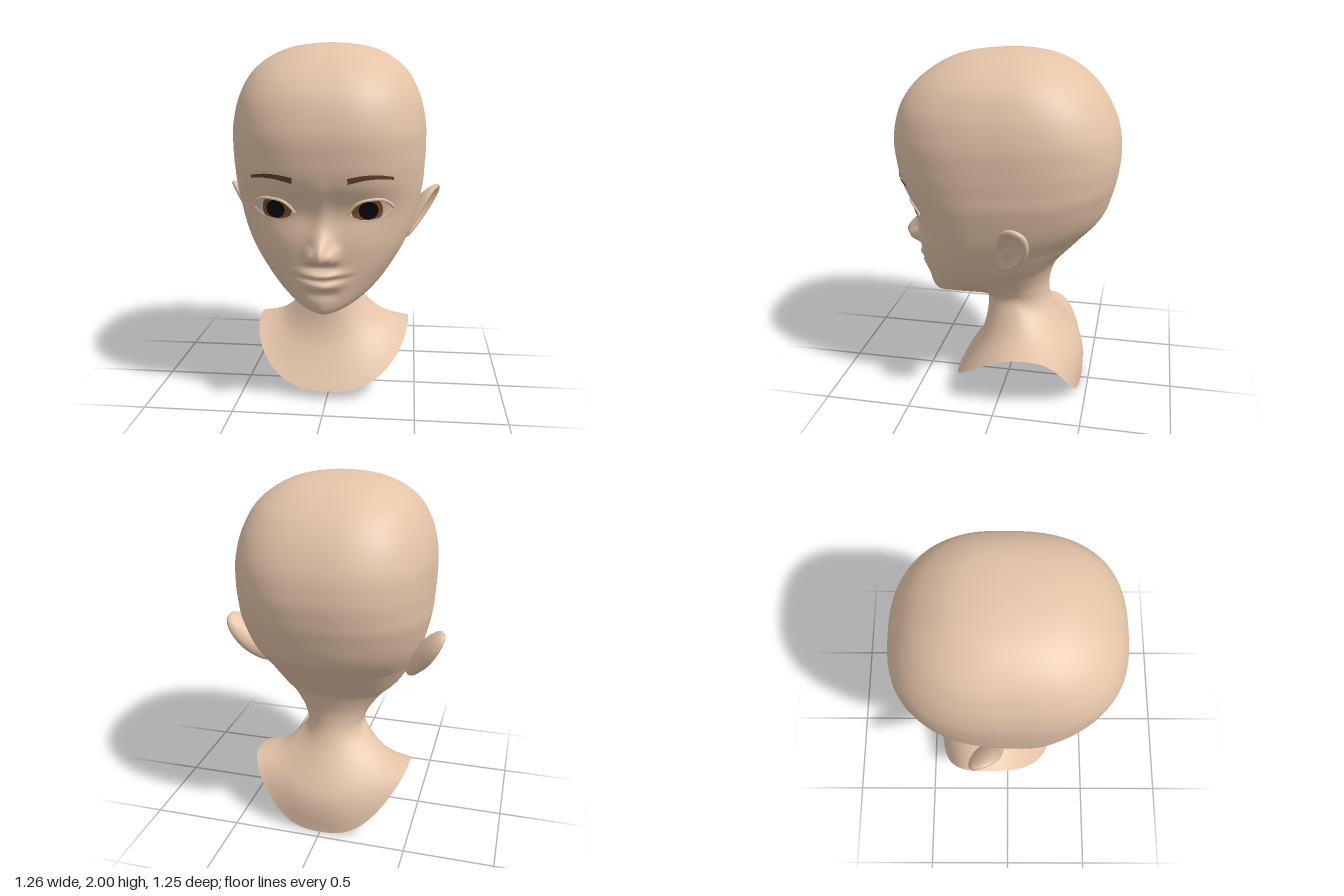
import * as THREE from 'three';

const skin = new THREE.MeshStandardMaterial({ color: 0xe4c4a8, side: THREE.DoubleSide });
skin.name = 'skin';
const flat = (name, color) => {
  const m = new THREE.MeshStandardMaterial({ color, side: THREE.DoubleSide });
  m.name = name;
  return m;
};
const eyeWhite = flat('eye white', 0xdcc9ba);
const irisBrown = flat('iris brown', 0x7d5231);
const pupilBlack = flat('pupil black', 0x0c0a0a);
const browBrown = flat('brow brown', 0x664529);

// Tilted rings, hem to crown: front y,z | side x,y,z | back y,z | roundness
// The last ring lies past the crown and only keeps the top round
const RINGS = [
  [0.05, 0.30, 0.457, 0.35, -0.17, 0.00, -0.455, 2.6],
  [0.30, 0.16, 0.30, 0.405, -0.135, 0.22, -0.445, 2.2],
  [0.50, 0.12, 0.178, 0.54, -0.08, 0.49, -0.28, 2],
  [0.565, 0.16, 0.185, 0.63, -0.06, 0.63, -0.245, 1.9],
  [0.552, 0.38, 0.265, 0.73, 0.00, 0.75, -0.27, 1.6],
  [0.575, 0.455, 0.335, 0.79, 0.02, 0.83, -0.315, 1.65],
  [0.70, 0.48, 0.40, 0.89, 0.03, 0.95, -0.425, 1.95],
  [0.87, 0.505, 0.47, 1.03, 0.02, 1.10, -0.55, 2.2],
  [1.14, 0.545, 0.52, 1.22, 0.00, 1.26, -0.605, 2.4],
  [1.27, 0.585, 0.53, 1.33, 0.00, 1.36, -0.624, 2.5],
  [1.39, 0.61, 0.535, 1.43, 0.00, 1.47, -0.63, 2.55],
  [1.55, 0.62, 0.53, 1.58, 0.00, 1.61, -0.605, 2.6],
  [1.73, 0.57, 0.49, 1.73, 0.00, 1.76, -0.53, 2.6],
  [1.87, 0.45, 0.405, 1.87, -0.02, 1.88, -0.42, 2.5],
  [1.967, 0.26, 0.24, 1.97, -0.05, 1.968, -0.26, 2.3],
  [2.00, -0.03, 0, 2.00, -0.03, 2.00, -0.03, 2],
  [1.967, -0.32, -0.24, 1.97, -0.05, 1.968, 0.20, 2],
];

const bump = (d, w) => Math.exp(-(d / w) * (d / w));
const plateau = (d, w) => Math.exp(-Math.pow(d / w, 4));

// Forward push that models eye sockets, nose and lips
function faceRelief(x, y) {
  const ax = Math.abs(x);
  let d = -0.034 * plateau(x, 0.36) * bump(y - 1.12, 0.11);
  d += 0.018 * bump(x, 0.05) * bump(y - 1.13, 0.13);
  d += 0.11 * bump(x, 0.052) * (y > 0.91 ? bump(y - 0.91, 0.09) : plateau(y - 0.91, 0.048));
  d += 0.05 * bump(ax - 0.06, 0.026) * plateau(y - 0.9, 0.04);
  const mouth = 0.767 + 0.5 * x * x;
  d += 0.05 * bump(x, 0.095) * bump(y - mouth - 0.025, 0.02);
  d += 0.04 * bump(x, 0.085) * bump(y - mouth + 0.035, 0.026);
  d -= 0.012 * plateau(x, 0.14) * bump(y - mouth, 0.009);
  d -= 0.008 * plateau(x, 0.09) * bump(y - 0.675, 0.025);
  return d;
}

// Turns a grid of points into a smooth surface
function gridSurface(points, rows, cols, closed, flip) {
  const index = [];
  const last = closed ? cols : cols - 1;
  for (let j = 0; j < rows - 1; j++) {
    for (let i = 0; i < last; i++) {
      const k = (i + 1) % cols;
      const a = j * cols + i, b = j * cols + k;
      const c = (j + 1) * cols + k, d = (j + 1) * cols + i;
      if (flip) index.push(a, c, b, a, d, c);
      else index.push(a, b, c, a, c, d);
    }
  }
  const g = new THREE.BufferGeometry();
  g.setAttribute('position', new THREE.Float32BufferAttribute(points, 3));
  g.setIndex(index);
  g.computeVertexNormals();
  return g;
}

function headGeometry() {
  const sub = 14, cols = 100, rows = (RINGS.length - 2) * sub + 1, pts = [];
  const at = (k) => RINGS[Math.min(Math.max(k, 0), RINGS.length - 1)];
  const spline = (a, b, c, d, t) => b + 0.5 * t * (c - a + t * (2 * a - 5 * b + 4 * c - d + t * (3 * (b - c) + d - a)));
  for (let j = 0; j < rows; j++) {
    const k = Math.floor(j / sub), t = (j % sub) / sub;
    const [fy, fz, sx, sy, sz, by, bz, n] = at(k).map((v, q) => spline(at(k - 1)[q], v, at(k + 1)[q], at(k + 2)[q], t));
    const drape = Math.max(0, 1 - j / (2 * sub)); // the hem stays high over the shoulders
    for (let i = 0; i < cols; i++) {
      const u = -1 + (2 * i) / cols;
      const a = Math.PI * Math.pow(Math.abs(u), 1.5);
      const front = Math.cos(a) >= 0;
      const e = 2 / (front ? n : Math.max(n, 2));
      const c = Math.pow(Math.abs(Math.cos(a)), e);
      const x = Math.sign(u) * Math.max(sx, 0) * Math.pow(Math.abs(Math.sin(a)), e);
      const y = sy + ((front ? fy : by) - sy) * Math.pow(c, 1 + drape * (front ? 1 : 2));
      let z = sz + ((front ? fz : bz) - sz) * c;
      if (front && z > 0.25 && y > 0.58) z += faceRelief(x, y);
      pts.push(x, y, z);
    }
  }
  return gridSurface(pts, rows, cols, true, false);
}

// Dished ear: outline given as z,y pairs, leaning outward
function earGeometry(s) {
  const outline = new THREE.CatmullRomCurve3([
    [-0.055, 1.145], [-0.09, 1.18], [-0.135, 1.19], [-0.19, 1.165], [-0.21, 1.10], [-0.19, 1.01],
    [-0.135, 0.935], [-0.07, 0.885], [-0.025, 0.885], [-0.02, 0.945], [-0.03, 1.05],
  ].map(([z, y]) => new THREE.Vector3(0, y, z)), true);
  // Radius and lift from the middle of the bowl, over the rim, to the back
  const profile = [[0, -0.016], [0.45, -0.016], [0.66, -0.01], [0.8, 0.003], [0.92, 0.004],
    [1, -0.008], [0.99, -0.025], [0.88, -0.045], [0.6, -0.07], [0, -0.085]];
  const cols = 40, pts = [];
  for (const [r, lift] of profile) {
    for (let i = 0; i < cols; i++) {
      const p = outline.getPoint(i / cols);
      const z = -0.1 + (p.z + 0.1) * r, y = 1.05 + (p.y - 1.05) * r;
      pts.push(s * (0.43 - 0.36 * z + 0.5 * (y - 0.9) + lift), y, z + lift * 0.3);
    }
  }
  return gridSurface(pts, profile.length, cols, true, s < 0);
}

// Eye opening
const EYE_X = 0.255, EYE_W = 0.115;
const eyeU = (x) => Math.min(1, Math.max(-1, (x - EYE_X) / EYE_W));
const lidTop = (x) => 1.137 + 0.012 * eyeU(x) + 0.062 * (1 - Math.abs(eyeU(x)) ** 3);
const lidLow = (x) => 1.137 + 0.012 * eyeU(x) - 0.048 * (1 - Math.abs(eyeU(x)) ** 2.6);

export function createModel() {
  const model = new THREE.Group();
  const add = (name, geometry, material) => {
    const mesh = new THREE.Mesh(geometry, material);
    mesh.name = name;
    model.add(mesh);
    return mesh;
  };
  const head = add('headAndNeck', headGeometry(), skin);

  // Depth of the face at x, y
  const ray = new THREE.Raycaster();
  const faceZ = (x, y) => {
    ray.set(new THREE.Vector3(x, y, 2), new THREE.Vector3(0, 0, -1));
    return ray.intersectObject(head)[0].point.z;
  };

  // Thin patch laid on the face between a lower and an upper edge
  const patch = (name, s, x0, x1, low, high, lift, material, cols = 15, rows = 5) => {
    const pts = [];
    for (let j = 0; j < rows; j++) {
      for (let i = 0; i < cols; i++) {
        const x = (x0 + x1) / 2 - ((x1 - x0) / 2) * Math.cos((Math.PI * i) / (cols - 1));
        const y = low(x) + Math.max(high(x) - low(x), 0) * (j / (rows - 1));
        pts.push(s * x, y, faceZ(x, y) + lift);
      }
    }
    add(name, gridSurface(pts, rows, cols, false, s < 0), material);
  };

  // Round patch trimmed by the eyelids
  const disc = (name, s, cx, cy, r, lift, material) => {
    const h = (x) => Math.sqrt(Math.max(0, r * r - (x - cx) ** 2));
    patch(name, s, cx - r, cx + r, (x) => Math.max(lidLow(x), cy - h(x)),
      (x) => Math.min(lidTop(x), cy + h(x)), lift, material);
  };

  for (const [side, s] of [['left', 1], ['right', -1]]) {
    add(side + 'Ear', earGeometry(s), skin);
    patch(side + 'EyeWhite', s, EYE_X - EYE_W, EYE_X + EYE_W, lidLow, lidTop, 0.005, eyeWhite);
    disc(side + 'Iris', s, 0.235, 1.142, 0.08, 0.008, irisBrown);
    disc(side + 'Pupil', s, 0.242, 1.142, 0.05, 0.011, pupilBlack);

    // Eyelid rims
    for (const [lid, edge, r] of [['UpperLid', lidTop, 0.008], ['LowerLid', lidLow, 0.005]]) {
      const path = [];
      for (let i = 0; i <= 10; i++) {
        const x = EYE_X - EYE_W * Math.cos((Math.PI * i) / 10);
        path.push(new THREE.Vector3(s * x, edge(x), faceZ(x, edge(x)) + 0.004));
      }
      add(side + lid, new THREE.TubeGeometry(new THREE.CatmullRomCurve3(path), 24, r, 8), skin);
    }

    // Eyebrow, tapering outward
    const arch = (x) => 1.303 + 0.02 * Math.sin((Math.PI * (x - 0.14)) / 0.26);
    const half = (x) => 0.016 - 0.035 * (x - 0.14);
    patch(side + 'Eyebrow', s, 0.14, 0.368, (x) => arch(x) - half(x), (x) => arch(x) + half(x), 0.006, browBrown, 13, 3);
  }
  return model;
}
